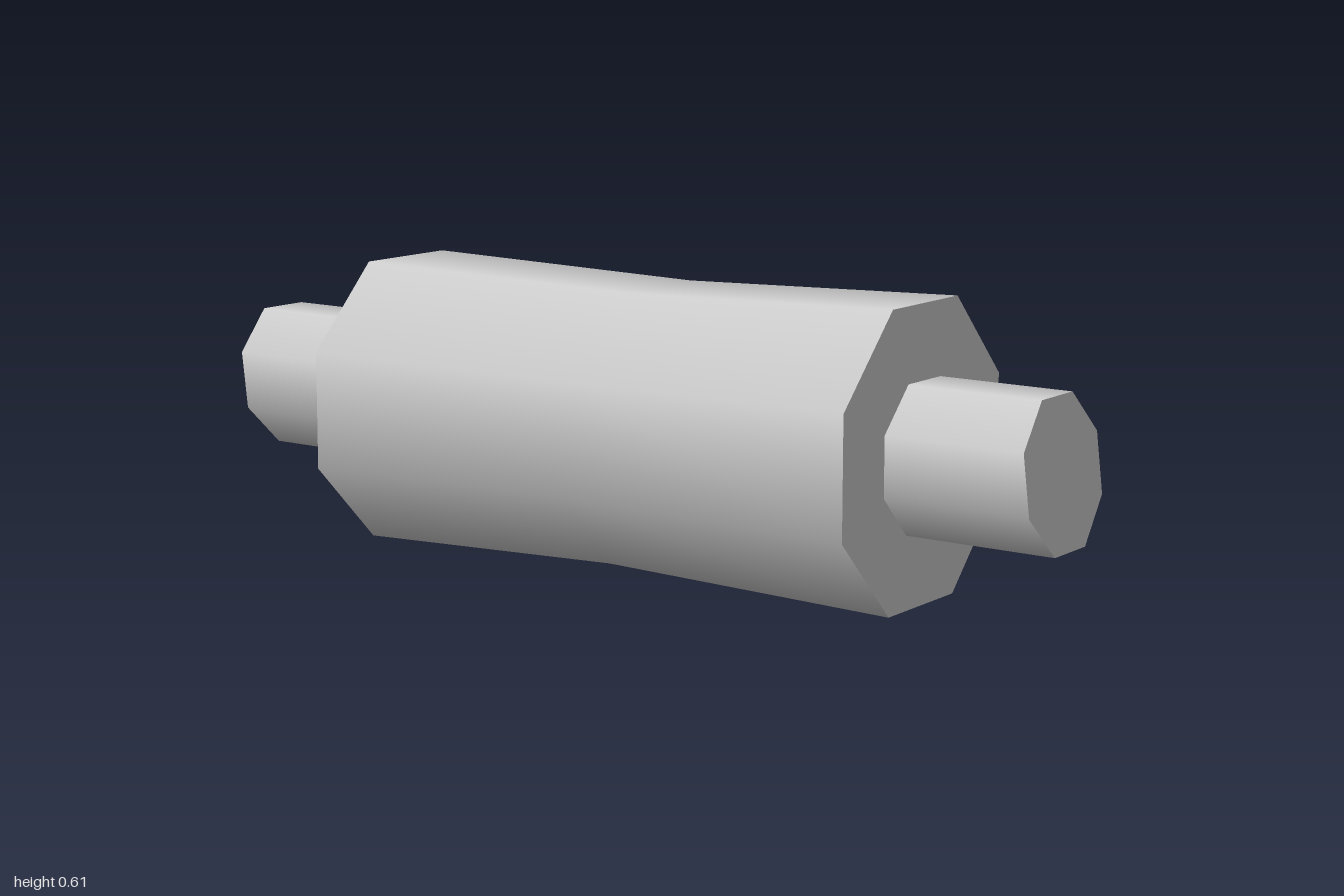
import * as THREE from 'three';

const SIDES = 8;
const CORNER = 1 / Math.cos(Math.PI / SIDES); // flat-to-corner ratio of an octagon

// Octagonal bar along x with flat faces up, down, front and back
function octagonBar(apothem, length, segments) {
  const r = apothem * CORNER;
  return new THREE.CylinderGeometry(r, r, length, SIDES, segments, false, Math.PI / SIDES)
    .rotateZ(-Math.PI / 2);
}

export function createModel() {
  const model = new THREE.Group();
  const grey = new THREE.MeshStandardMaterial({ color: 0xcccccc });
  grey.name = 'grey';

  // Roller body, slightly pinched at its middle ring, which leans a little
  const rollerGeo = octagonBar(0.3025, 1.31, 2);
  const pos = rollerGeo.attributes.position;
  for (let i = 0; i < pos.count; i++) {
    if (Math.abs(pos.getX(i)) > 0.1) continue;
    const y = pos.getY(i) * 0.942;
    pos.setXYZ(i, 0.07 * y, y + 0.001, pos.getZ(i) * 0.942);
  }
  const roller = new THREE.Mesh(rollerGeo, grey);
  roller.name = 'roller';
  roller.position.set(0.02, 0.3025, 0);

  // Axle through the roller: tilted down to the left, with slanted ends
  const axleGeo = octagonBar(0.15, 1.965, 1);
  axleGeo.applyMatrix4(new THREE.Matrix4().set(
    1, -0.117, 0, 0,
    -0.009, 1, 0, 0,
    0, 0, 1, 0,
    0, 0, 0, 1));
  const axle = new THREE.Mesh(axleGeo, grey);
  axle.name = 'axle';
  axle.position.y = 0.308;

  model.add(roller, axle);
  return model;
}
